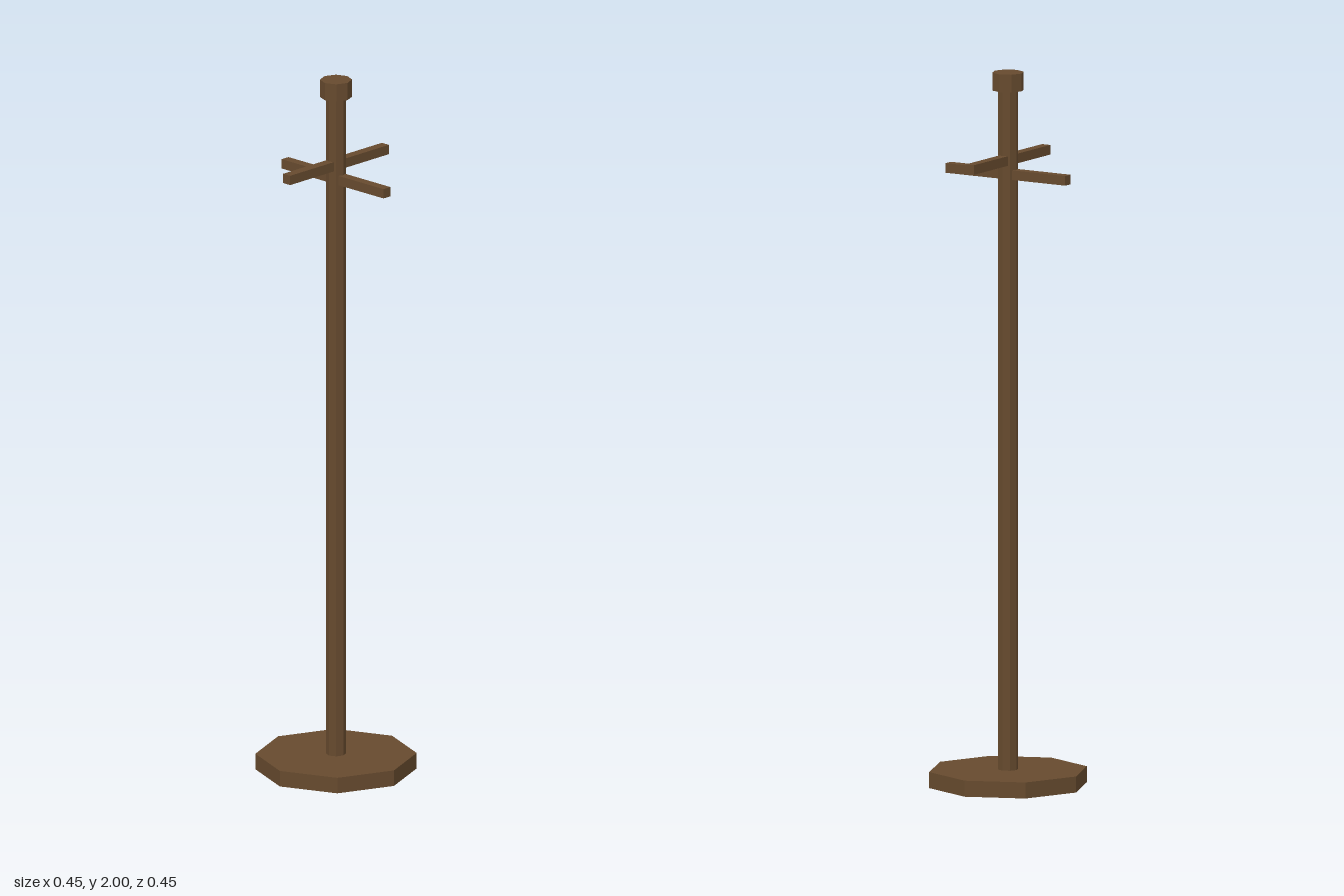
import * as THREE from 'three';

export function createModel() {
  const group = new THREE.Group();
  const wood = new THREE.MeshStandardMaterial({ color: 0x664a2e, flatShading: true });
  wood.name = 'darkWood';

  const add = (name, geometry, y) => {
    const mesh = new THREE.Mesh(geometry, wood);
    mesh.name = name;
    mesh.position.y = y;
    group.add(mesh);
  };
  // Eight-sided upright prism spanning two heights
  const prism = (name, radius, bottom, top) =>
    add(name, new THREE.CylinderGeometry(radius, radius, top - bottom, 8), (bottom + top) / 2);

  prism('base', 0.223, 0, 0.045);
  prism('pole', 0.028, 0.045, 1.95);
  prism('cap', 0.0445, 1.95, 2);

  // Crossed hanging pegs, one just above the other
  const length = 0.392, thick = 0.027;
  add('sidePeg', new THREE.BoxGeometry(length, thick, thick), 1.715);
  add('frontPeg', new THREE.BoxGeometry(thick, thick, length), 1.755);

  return group;
}
